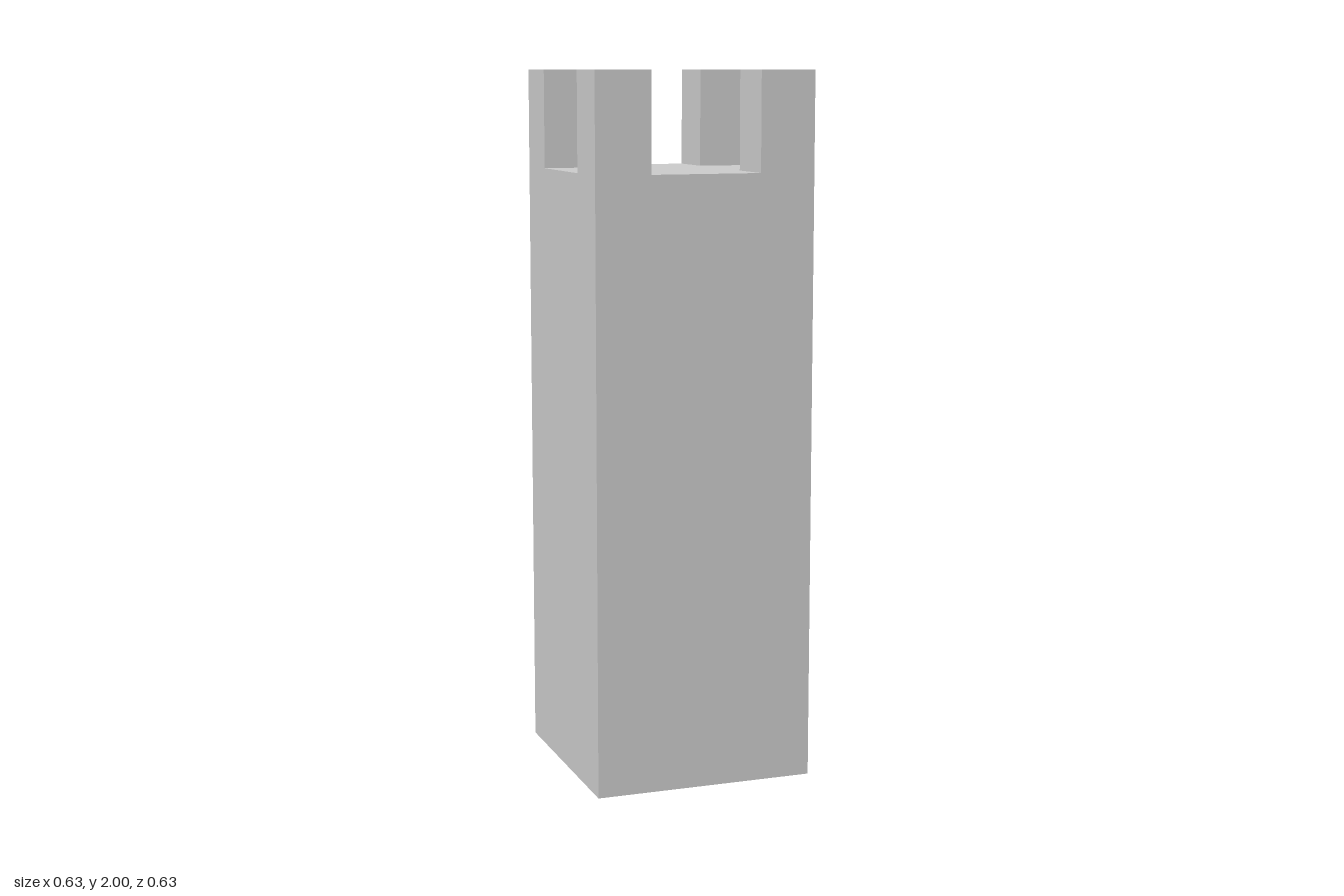
import * as THREE from 'three';

const WIDTH = 0.632;        // square plan of the tower
const ROOF = 1.722;         // height of the flat roof
const TOP = 2;              // height of the corner battlements
const MERLON = WIDTH / 4;   // battlement side

export function createModel() {
  const model = new THREE.Group();
  model.name = 'tower';
  const material = new THREE.MeshStandardMaterial({ color: 0xcccccc, flatShading: true });

  // A box standing on the given height
  const block = (name, side, height, x, y, z) => {
    const mesh = new THREE.Mesh(new THREE.BoxGeometry(side, height, side), material);
    mesh.name = name;
    mesh.position.set(x, y + height / 2, z);
    model.add(mesh);
  };

  // Shaft with flat roof
  block('towerShaft', WIDTH, ROOF, 0, 0, 0);

  // One battlement flush with each corner
  const offset = (WIDTH - MERLON) / 2;
  for (const [sx, sideName] of [[1, 'Left'], [-1, 'Right']]) {
    for (const [sz, endName] of [[1, 'front'], [-1, 'back']]) {
      block(`${endName}${sideName}Battlement`, MERLON, TOP - ROOF, sx * offset, ROOF, sz * offset);
    }
  }
  return model;
}
